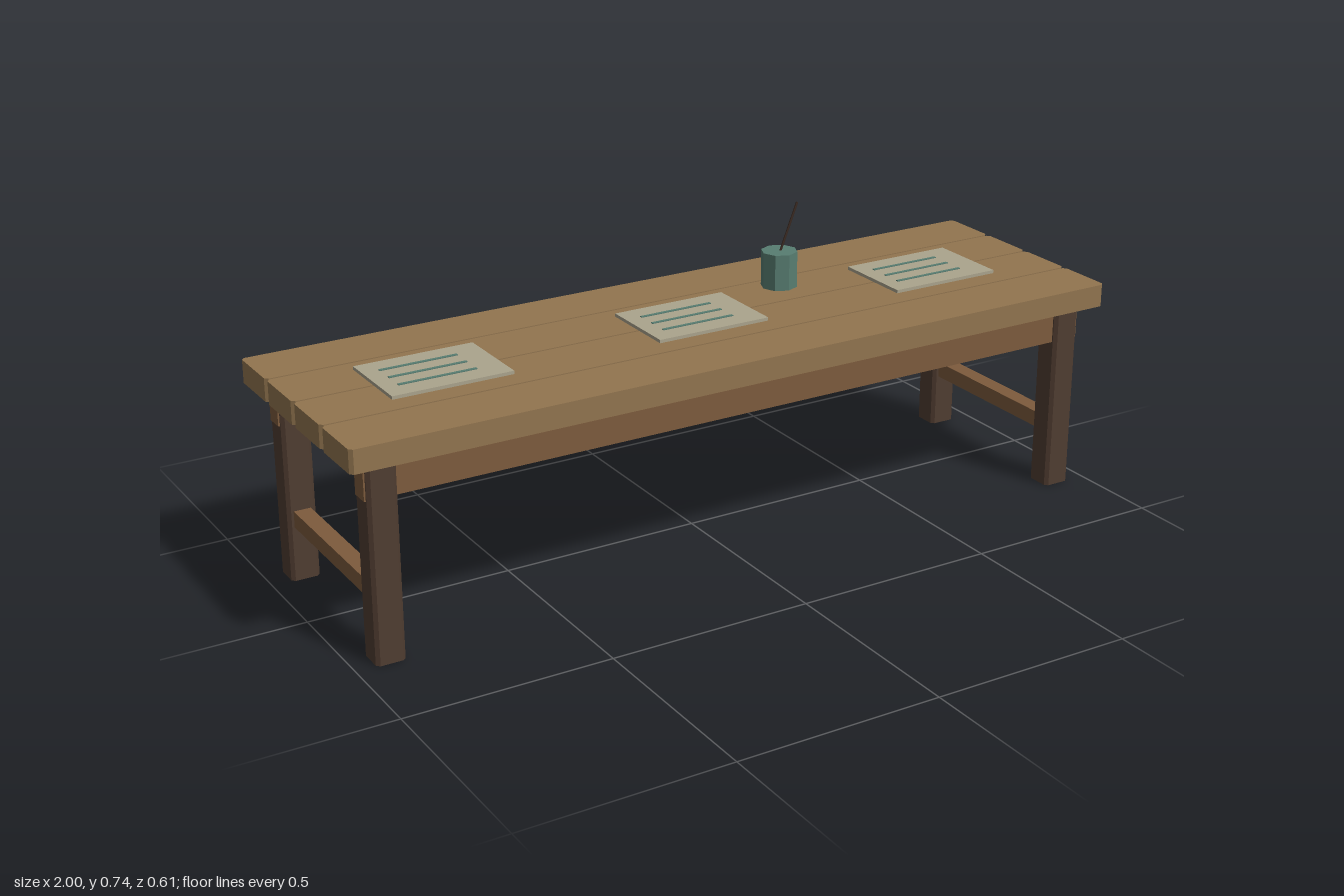
import * as THREE from 'three';

const paint = (color) => new THREE.MeshStandardMaterial({ color, flatShading: true });

// Upright block (base at y = 0) with its four vertical edges chamfered
function chamferedBlock(w, h, d, c) {
  const x = w / 2, z = d / 2;
  const shape = new THREE.Shape([
    [x - c, -z], [x, -z + c], [x, z - c], [x - c, z],
    [-x + c, z], [-x, z - c], [-x, -z + c], [-x + c, -z],
  ].map(([a, b]) => new THREE.Vector2(a, b)));
  return new THREE.ExtrudeGeometry(shape, { depth: h, bevelEnabled: false }).rotateX(-Math.PI / 2);
}

export function createModel() {
  const model = new THREE.Group();
  model.name = 'table';
  const topWood = paint(0x92754f);
  const railWood = paint(0x7d5b3d);
  const legWood = paint(0x503d31);
  const paper = paint(0xaba48d);
  const teal = paint(0x587d71);
  const dark = paint(0x3a2a22);

  function add(name, geometry, material, x, y, z, parent = model) {
    const mesh = new THREE.Mesh(geometry, material);
    mesh.name = name;
    mesh.position.set(x, y, z);
    parent.add(mesh);
    return mesh;
  }

  // Four top planks with narrow gaps between them
  const plank = chamferedBlock(2, 0.056, 0.149, 0.008);
  for (let i = 0; i < 4; i++) add('plank', plank, topWood, 0, 0.472, (i - 1.5) * 0.1545);

  // Legs, with a cross stretcher at each end
  const leg = chamferedBlock(0.07, 0.472, 0.068, 0.008);
  for (const x of [-0.917, 0.917]) {
    for (const z of [-0.239, 0.239]) add('leg', leg, legWood, x, 0, z);
    add('stretcher', new THREE.BoxGeometry(0.042, 0.04, 0.412), railWood, x, 0.155, 0);
  }

  // Long aprons running through the leg tops
  for (const z of [-0.239, 0.239]) {
    add('apron', new THREE.BoxGeometry(1.912, 0.087, 0.046), railWood, 0, 0.4285, z);
  }

  // Sheets with three ruled strokes each
  for (const x of [-0.667, 0, 0.667]) {
    const sheet = new THREE.Group();
    sheet.name = 'writtenSheet';
    sheet.position.x = x;
    model.add(sheet);
    add('sheet', new THREE.BoxGeometry(0.294, 0.008, 0.209), paper, 0, 0.535, 0, sheet);
    for (const z of [-0.05, 0, 0.05]) {
      add('inkLine', new THREE.BoxGeometry(0.19, 0.004, 0.008), teal, -0.013, 0.539, z, sheet);
    }
  }

  // Eight-sided ink pot with a leaning pen
  add('inkPot', new THREE.CylinderGeometry(0.045, 0.045, 0.09, 8), teal, 0.3, 0.58, -0.084);
  const pen = add('pen', new THREE.CylinderGeometry(0.003, 0.003, 0.15, 6), dark, 0.322, 0.67, -0.084);
  pen.rotation.z = -0.38;

  return model;
}
